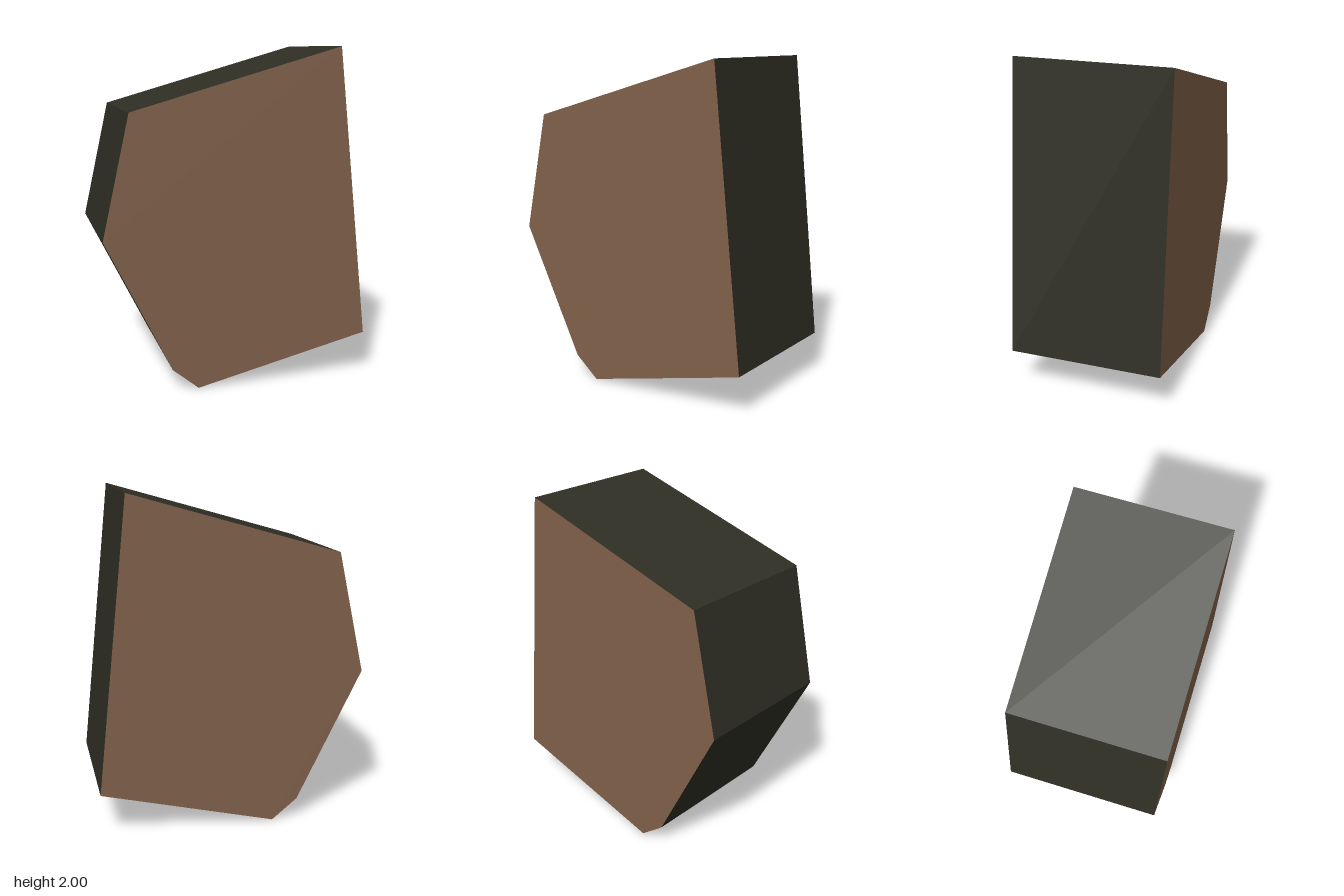
import * as THREE from 'three';

export function createModel() {
  const group = new THREE.Group();
  const brown = new THREE.MeshStandardMaterial({ color: 0x80604a });
  brown.name = 'brown face';
  const dark = new THREE.MeshStandardMaterial({ color: 0x2e2e24 });
  dark.name = 'dark olive edge';

  // Irregular six-sided outline, counter-clockwise
  const outline = [
    [-0.25, 0], [0.795, 0.26], [0.61, 2],
    [-0.64, 1.64], [-0.8, 0.915], [-0.405, 0.125],
  ].map(([x, y]) => new THREE.Vector2(x, y));

  // Thick slab: brown front and back, dark rim
  const depth = 0.92;
  const geometry = new THREE.ExtrudeGeometry(new THREE.Shape(outline), {
    depth, bevelEnabled: false, steps: 1,
  });
  geometry.translate(0, 0, -depth / 2);

  const slab = new THREE.Mesh(geometry, [brown, dark]);
  slab.name = 'slab';
  group.add(slab);
  return group;
}
